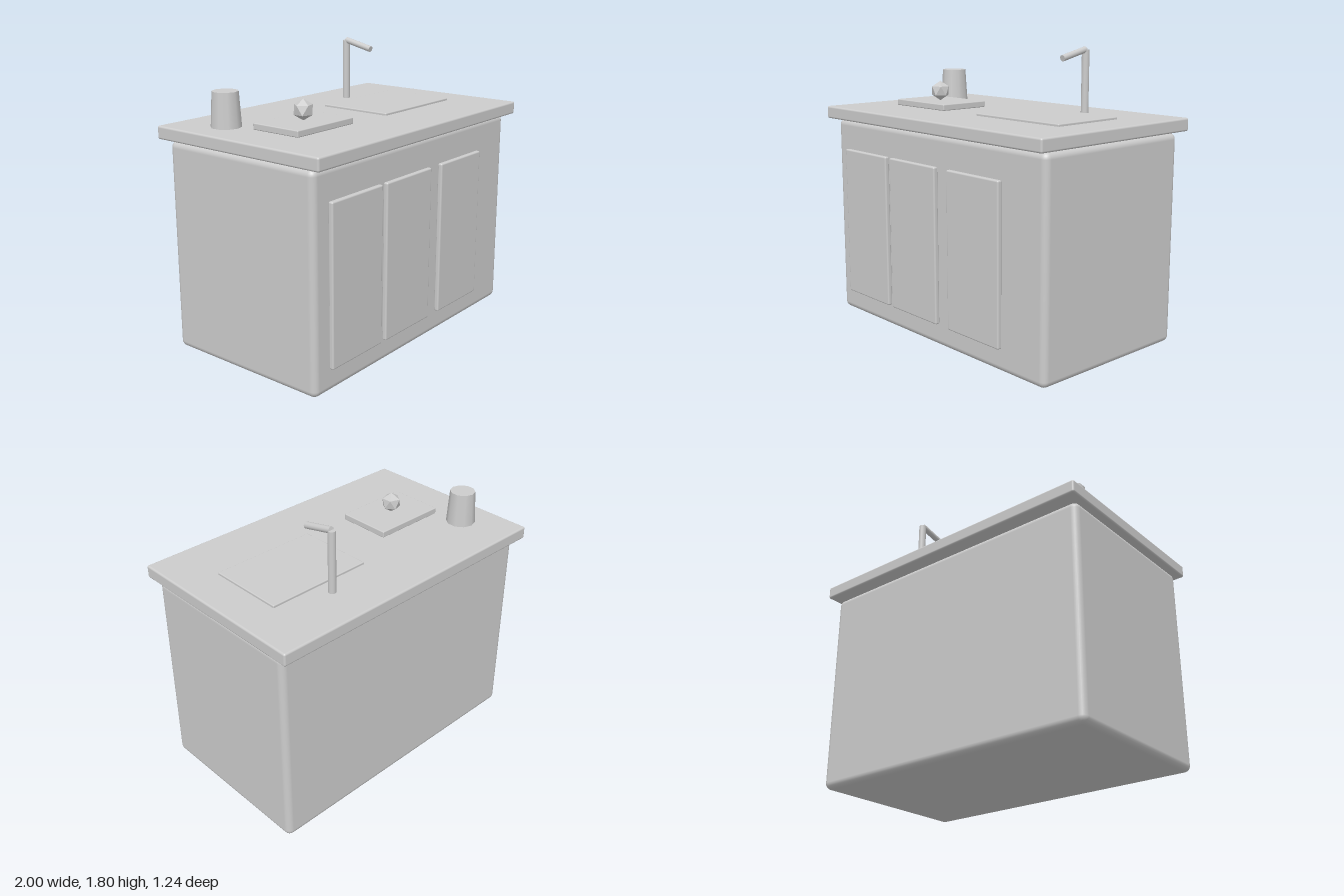
import * as THREE from 'three';
import { RoundedBoxGeometry } from 'three/addons/geometries/RoundedBoxGeometry.js';

export function createModel() {
  const model = new THREE.Group();
  model.name = 'kitchenCounter';
  const grey = new THREE.MeshStandardMaterial({ color: 0xcccccc });
  grey.name = 'lightGrey';

  function add(name, geometry, x = 0, y = 0, z = 0) {
    const mesh = new THREE.Mesh(geometry, grey);
    mesh.name = name;
    mesh.position.set(x, y, z);
    model.add(mesh);
    return mesh;
  }

  // Rounded box given by its extents
  function block(name, [x0, x1], [y0, y1], [z0, z1], radius) {
    const geometry = new RoundedBoxGeometry(x1 - x0, y1 - y0, z1 - z0, 3, radius);
    return add(name, geometry, (x0 + x1) / 2, (y0 + y1) / 2, (z0 + z1) / 2);
  }

  // Round bar between two points
  function bar(name, from, to, radius) {
    const axis = to.clone().sub(from);
    const mesh = add(name, new THREE.CylinderGeometry(radius, radius, axis.length(), 12));
    mesh.position.copy(from).add(to).multiplyScalar(0.5);
    mesh.quaternion.setFromUnitVectors(new THREE.Vector3(0, 1, 0), axis.normalize());
    return mesh;
  }

  // Cabinet and worktop
  block('cabinet', [-0.97, 0.97], [0, 1.305], [-0.555, 0.555], 0.04);
  block('worktop', [-1, 1], [1.31, 1.39], [-0.62, 0.62], 0.012);

  // Doors
  const doorWidth = 0.445;
  [-0.85, -0.365, 0.19].forEach((x, i) =>
    block('door' + (i + 1), [x, x + doorWidth], [0.145, 1.115], [0.553, 0.585], 0.01));

  // Sink panel and chopping board
  block('sinkPanel', [0.07, 0.76], [1.38, 1.405], [-0.25, 0.245], 0.006);
  block('choppingBoard', [-0.73, -0.245], [1.39, 1.43], [-0.105, 0.24], 0.006);

  // Fruit, with one corner pointing up
  const fruit = new THREE.IcosahedronGeometry(0.064, 0);
  fruit.rotateZ(Math.atan(2 / (1 + Math.sqrt(5))));
  add('fruit', fruit, -0.49, 1.492, 0.067);

  // Upturned cup
  add('cup', new THREE.CylinderGeometry(0.079, 0.092, 0.21, 10), -0.767, 1.495, -0.283);

  // Tap
  const tapX = 0.414;
  bar('tapPost', new THREE.Vector3(tapX, 1.39, -0.347), new THREE.Vector3(tapX, 1.778, -0.347), 0.024);
  bar('tapSpout', new THREE.Vector3(tapX, 1.779, -0.343), new THREE.Vector3(tapX, 1.733, -0.142), 0.02);

  return model;
}
